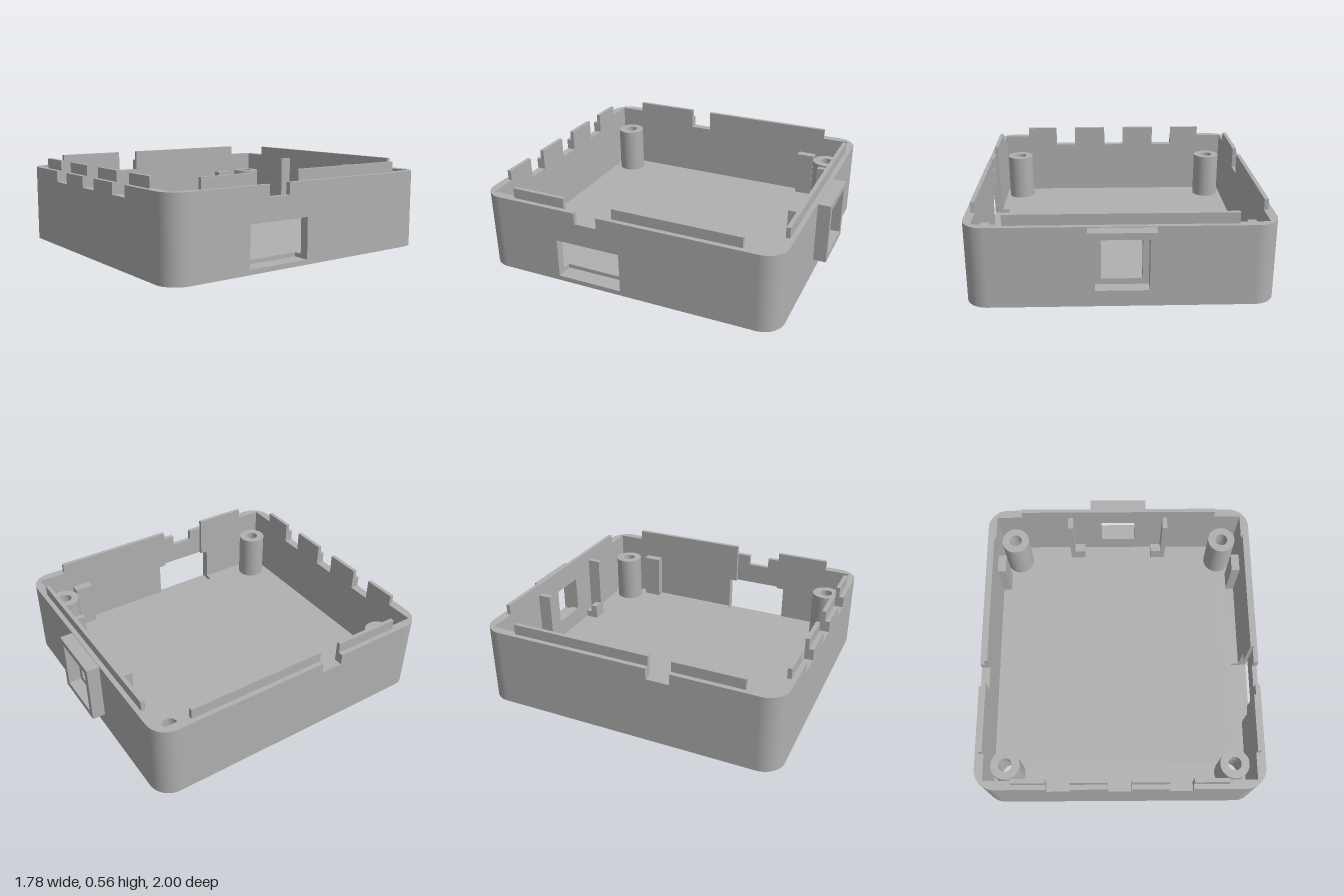
import * as THREE from 'three';
import { toCreasedNormals } from 'three/addons/utils/BufferGeometryUtils.js';

const grey = new THREE.MeshStandardMaterial({ color: 0xb0b0b0 });
grey.name = 'grey plastic';

const W = 0.89, BACK = -0.92, FRONT = 1.0;   // outer faces of the case
const R = 0.13, T = 0.055, LIP = 0.025;      // corner radius, wall and lip thickness
const TOP = 0.49, LIP_TOP = 0.555, FLOOR = 0.055, NOTCH = 0.42;

export function createModel() {
  const group = new THREE.Group();

  const add = (name, geometry) => {
    const mesh = new THREE.Mesh(geometry, grey);
    mesh.name = name;
    group.add(mesh);
    return mesh;
  };
  const box = (name, x0, x1, y0, y1, z0, z1) =>
    add(name, new THREE.BoxGeometry(x1 - x0, y1 - y0, z1 - z0)
      .translate((x0 + x1) / 2, (y0 + y1) / 2, (z0 + z1) / 2));
  const poly = (points, Type = THREE.Shape) =>
    new Type(points.map(([x, y]) => new THREE.Vector2(x, y)));
  const rect = (x0, x1, y0, y1, Type) => poly([[x0, y0], [x1, y0], [x1, y1], [x0, y1]], Type);
  const extrude = (shape, depth) =>
    new THREE.ExtrudeGeometry(shape, { depth, bevelEnabled: false, curveSegments: 20 });

  // Wall outline from a to b, with an optional raised lip and notches in its top edge
  const wallShape = (a, b, lip, notches = []) => {
    const high = lip ? LIP_TOP : TOP;
    const edge = [[a, 0], [a, TOP]];
    if (lip) edge.push([lip[0], TOP], [lip[0], high]);
    for (const [n0, n1] of notches) edge.push([n0, high], [n0, NOTCH], [n1, NOTCH], [n1, high]);
    if (lip) edge.push([lip[1], high], [lip[1], TOP]);
    edge.push([b, TOP], [b, 0]);
    return poly(edge);
  };
  // Panels facing z (starting at z) and panels facing x (from x towards -x)
  const zPanel = (name, shape, depth, z) => add(name, extrude(shape, depth).translate(0, 0, z));
  const xPanel = (name, shape, depth, x) =>
    add(name, extrude(shape, depth).rotateY(-Math.PI / 2).translate(x, 0, 0));

  // Front wall with three notches
  const xEnd = W - R, z0 = BACK + R, z1 = FRONT - R;
  const frontNotches = [[-0.45, -0.305], [-0.075, 0.07], [0.3, 0.445]];
  zPanel('frontWallOuter', wallShape(-xEnd, xEnd, null, frontNotches), T - LIP, FRONT - T + LIP);
  zPanel('frontWallLip', wallShape(-xEnd, xEnd, [-0.66, 0.66], frontNotches), LIP, FRONT - T);

  // Back wall with a square opening
  const backOuter = wallShape(-xEnd, xEnd, null);
  const backInner = wallShape(-xEnd, xEnd, [-0.66, 0.66]);
  for (const s of [backOuter, backInner]) s.holes.push(rect(-0.12, 0.115, 0.175, 0.41, THREE.Path));
  zPanel('backWallOuter', backOuter, T - LIP, BACK);
  zPanel('backWallLip', backInner, LIP, BACK + T - LIP);

  // Socket frame on the back
  const socket = rect(-0.195, 0.19, 0.1, 0.485);
  socket.holes.push(rect(-0.155, 0.15, 0.14, 0.445, THREE.Path));
  zPanel('socketFrame', socket, 0.08, -1.0);

  // Left wall
  const sideNotch = [[0.2, 0.345]];
  xPanel('rightWallOuter', (() => {
    const s = wallShape(z0, z1, null, sideNotch);
    s.holes.push(rect(0.06, 0.48, 0.03, 0.28, THREE.Path));
    return s;
  })(), T - LIP, W);
  // Right inner wall: window opening joined to a recess that runs up to the rim
  xPanel('rightWallLip', poly([
    [z0, 0], [z0, TOP], [-0.69, TOP], [-0.69, LIP_TOP], [0.11, LIP_TOP], [0.11, 0.28],
    [0.06, 0.28], [0.06, 0.03], [0.48, 0.03], [0.48, 0.28], [0.43, 0.28], [0.43, LIP_TOP],
    [0.78, LIP_TOP], [0.78, TOP], [z1, TOP], [z1, 0],
  ]), LIP, W - T + LIP);
  xPanel('leftWallOuter', wallShape(z0, z1, null, sideNotch), T - LIP, -W + T - LIP);
  xPanel('leftWallLip', wallShape(z0, z1, [-0.69, 0.78], sideNotch), LIP, -W + T);

  // Corners: round outside, square inside
  const corner = poly([[R, 0], [R, T], [T, T], [T, R], [0, R]]);
  corner.absarc(R, R, R, Math.PI, Math.PI * 1.5, false);
  const cornerGeo = toCreasedNormals(
    extrude(corner, TOP).rotateX(Math.PI / 2).translate(0, TOP, 0), 0.6);
  [[-W, BACK], [-W, FRONT], [W, FRONT], [W, BACK]].forEach(([x, z], i) => {
    const mesh = add('corner', cornerGeo);
    mesh.position.set(x, 0, z);
    mesh.rotation.y = i * Math.PI / 2;
  });

  // Floor in two layers: blind holes below, window pocket above
  const posts = [];
  for (const x of [-0.72, 0.72]) for (const z of [-0.75, 0.825]) posts.push([x, z]);
  const hole = (x, z, r) => new THREE.Path().absarc(x, z, r, 0, Math.PI * 2, true);
  const ix = W - T, iz0 = BACK + T, iz1 = FRONT - T;
  const lower = rect(-ix, ix, iz0, iz1);
  const upper = poly([[-ix, iz0], [ix, iz0], [ix, 0.06], [0.785, 0.06], [0.785, 0.48],
    [ix, 0.48], [ix, iz1], [-ix, iz1]]);
  for (const [x, z] of posts) for (const s of [lower, upper]) s.holes.push(hole(x, z, 0.07));
  for (const x of [-0.195, 0.195]) lower.holes.push(hole(x, 0.03, 0.045));
  const layer = (name, shape, y0, y1) => add(name, toCreasedNormals(
    extrude(shape, y1 - y0).rotateX(Math.PI / 2).translate(0, y1, 0), 0.6));
  layer('floorLower', lower, 0, 0.03);
  layer('floorUpper', upper, 0.03, FLOOR);

  // Screw posts, counterbored from below
  const postTop = 0.37;
  const postGeo = toCreasedNormals(new THREE.LatheGeometry([
    [0.042, postTop], [0.042, 0.28], [0.07, 0.28], [0.07, FLOOR],
    [0.092, FLOOR], [0.092, postTop], [0.042, postTop],
  ].map(([r, y]) => new THREE.Vector2(r, y)), 40), 0.6);
  for (const [x, z] of posts) add('screwPost', postGeo).position.set(x, 0, z);

  // Side support blocks and the clips on the back wall
  for (const s of [-1, 1]) {
    const span = (a, b) => [Math.min(s * a, s * b), Math.max(s * a, s * b)];
    box('sideBlock', ...span(0.78, ix), FLOOR, 0.36, -0.64, -0.52);
    const clip = (name, a, b, top, za, zb) => {
      const [p, q] = span(a, b);
      box(name, p - 0.005, q - 0.005, FLOOR, top, za, zb);
    };
    clip('clipPost', 0.308, 0.341, 0.485, iz0, -0.78);
    clip('clipBase', 0.24, 0.308, 0.1, iz0, -0.825);
    clip('clipStop', 0.24, 0.308, 0.15, -0.825, -0.78);
  }
  return group;
}
